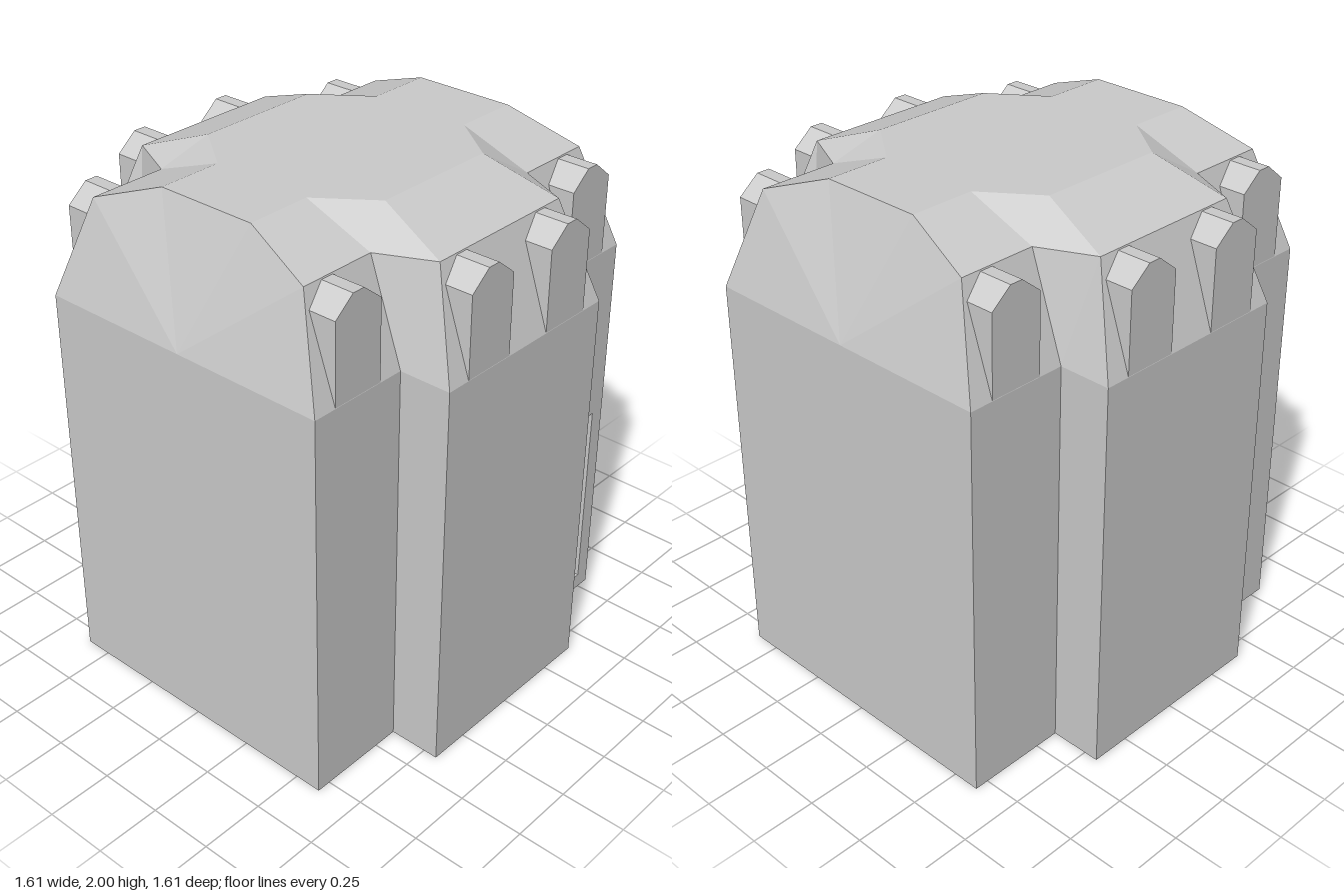
import * as THREE from 'three';

const WALL = 1.525, EAVE = 1.9, TOP = 2;
const mat = new THREE.MeshStandardMaterial({ color: 0xcccccc, flatShading: true, side: THREE.DoubleSide });

function add(parent, name, geometry) {
  const mesh = new THREE.Mesh(geometry, mat);
  mesh.name = name;
  parent.add(mesh);
  return mesh;
}

// Geometry from a list of convex polygons, each fanned from its first corner
function polygons(list) {
  const pos = [];
  for (const p of list)
    for (let i = 1; i < p.length - 1; i++) pos.push(...p[0], ...p[i], ...p[i + 1]);
  const g = new THREE.BufferGeometry();
  g.setAttribute('position', new THREE.Float32BufferAttribute(pos, 3));
  g.computeVertexNormals();
  return g;
}

const outline = (pts) => new THREE.Shape(pts.map(([x, y]) => new THREE.Vector2(x, y)));

// Cross-shaped ring at height y: front half given as [x, z], back half turned by 180 degrees
const ring = (half, y) => [...half, ...half.map(([x, z]) => [-x, -z])].map(([x, z]) => [x, y, z]);
const plan = [[-0.805, 0.605], [-0.405, 0.605], [-0.405, 0.805], [0.405, 0.805], [0.405, 0.605], [0.805, 0.605]];
const ground = ring(plan, 0);
const base = ring(plan, WALL);
const eave = ring([[-0.71, 0.475], [-0.405, 0.475], [-0.31, 0.675], [0.31, 0.675], [0.405, 0.475], [0.71, 0.475]], EAVE);
const top = ring([[-0.65, 0.2], [-0.4, 0.2], [-0.25, 0.4], [0.25, 0.4], [0.4, 0.2], [0.65, 0.2]], TOP);

function addWalls(g) {
  const faces = [];
  for (let i = 0; i < 12; i++) {
    const j = (i + 1) % 12;
    if (i !== 4) faces.push([ground[i], ground[j], base[j], base[i]]);
  }
  add(g, 'walls', polygons(faces));
  // Front wall of the wing with the doorway cut out
  const doorWall = outline([[0.405, 0], [0.805, 0], [0.805, WALL], [0.405, WALL],
    [0.405, 0.83], [0.745, 0.83], [0.745, 0.06], [0.405, 0.06]]);
  add(g, 'doorwayWall', new THREE.ShapeGeometry(doorWall)).position.z = 0.605;
}

function addRoof(g) {
  const faces = [];
  for (let i = 0; i < 12; i++) {
    const j = (i + 1) % 12;
    if (i % 6 === 5) {
      // Gable side: fan from the middle of the wall top
      const m = [base[i][0], WALL, 0];
      faces.push([m, base[j], eave[j], top[j], top[i], eave[i], base[i]]);
    } else {
      // Steep lower slope and shallow upper slope
      for (const [lo, hi] of [[base, eave], [eave, top]]) {
        const q = [lo[i], lo[j], hi[j], hi[i]];
        if (i % 6 === 3) q.push(q.shift());
        faces.push(q);
      }
    }
    faces.push([[0, TOP, 0], top[i], top[j]]);
  }
  add(g, 'roof', polygons(faces));
}

// Dormer with its front flush with the wall and its back laid on the slope
function dormerGeometry() {
  const w = 0.105;
  const shape = outline([[-w, WALL + 0.002], [w, WALL + 0.002], [w, 1.83], [0.025, 1.895], [-0.025, 1.895], [-w, 1.83]]);
  const geo = new THREE.ExtrudeGeometry(shape, { depth: 1, bevelEnabled: false });
  const p = geo.attributes.position;
  for (let i = 0; i < p.count; i++) {
    const inset = (p.getY(i) - WALL) / (EAVE - WALL) * 0.13;
    p.setZ(i, p.getZ(i) < 0.5 ? -inset : 0);
  }
  geo.computeVertexNormals();
  return geo;
}

function addDormers(g) {
  const geo = dormerGeometry();
  for (const turn of [0, Math.PI]) {
    const row = new THREE.Group();
    row.name = turn ? 'backDormers' : 'frontDormers';
    row.rotation.y = turn;
    for (const side of [-1, 1]) {
      add(row, 'centreDormer', geo).position.set(side * 0.205, 0, 0.805);
      add(row, 'wingDormer', geo).position.set(side * 0.607, 0, 0.605);
    }
    g.add(row);
  }
}

// Alcove behind the doorway: steps, back wall and ceiling swept across x
function addEntrance(g) {
  const x0 = 0.405, x1 = 0.745, zFront = 0.605, tread = 0.06;
  const profile = [[zFront, 0.06]];
  [0.06, 0.1, 0.143, 0.185].forEach((y, i) => {
    if (i) profile.push([zFront - i * tread, y]);
    profile.push([zFront - (i + 1) * tread, y]);
  });
  profile.push([zFront - 4 * tread, 0.83], [zFront, 0.83]);
  const faces = [];
  for (let i = 0; i < profile.length - 1; i++) {
    const [za, ya] = profile[i], [zb, yb] = profile[i + 1];
    faces.push([[x0, ya, za], [x1, ya, za], [x1, yb, zb], [x0, yb, zb]]);
  }
  add(g, 'entranceSteps', polygons(faces));
  for (const x of [x0, x1]) {
    const side = new THREE.ShapeGeometry(outline(profile.map(([z, y]) => [-z, y])));
    side.rotateY(Math.PI / 2);
    add(g, 'entranceSide', side).position.x = x;
  }
}

export function createModel() {
  const g = new THREE.Group();
  g.name = 'building';
  addWalls(g);
  addRoof(g);
  addDormers(g);
  addEntrance(g);
  return g;
}
